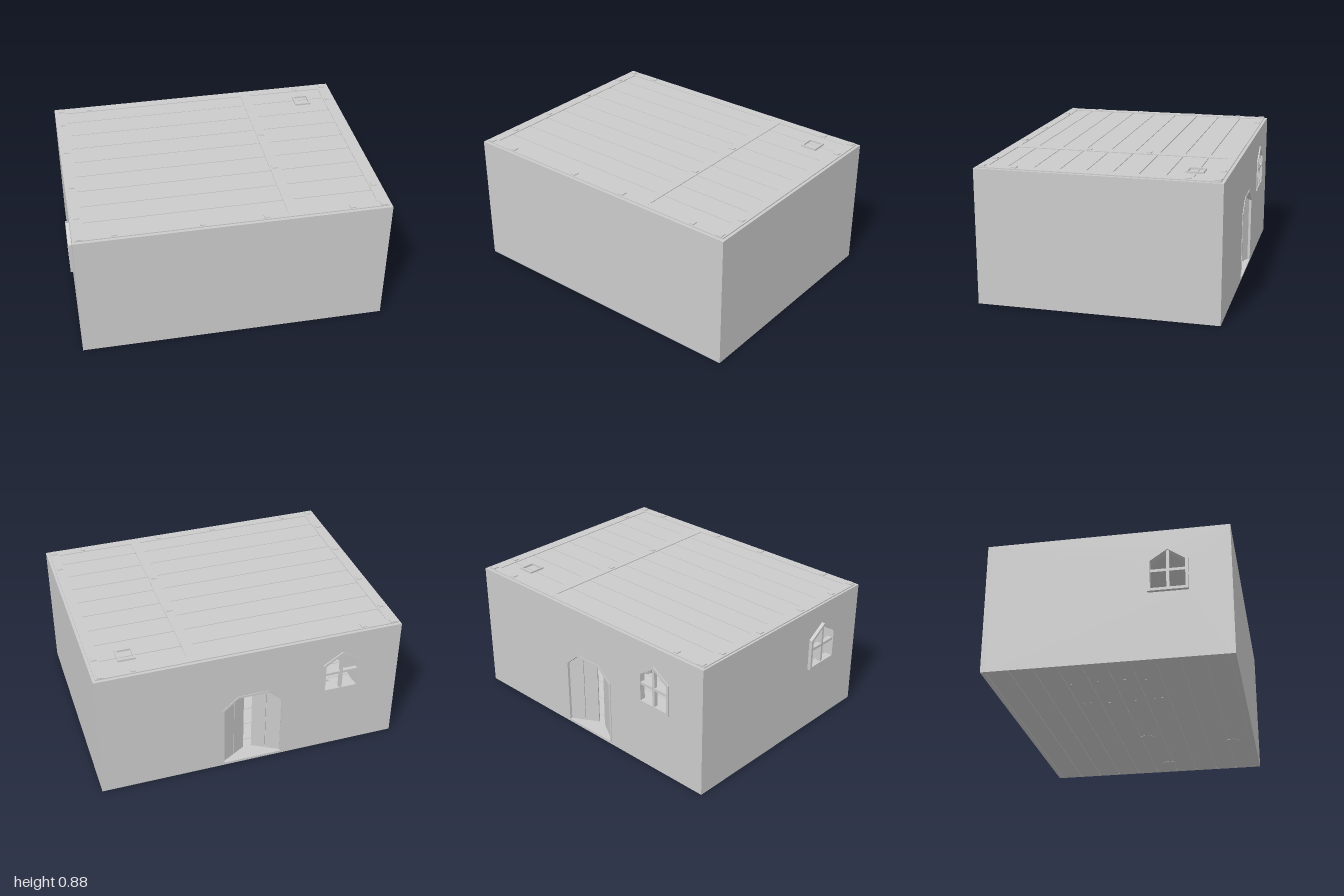
import * as THREE from 'three';

const mat = new THREE.MeshStandardMaterial({ color: 0xcccccc, flatShading: true });
const X0 = -0.975, X1 = 0.995, Z = 0.76, TOP = 0.87, T = 0.03;

function add(parent, name, geo, x = 0, y = 0, z = 0) {
  const m = new THREE.Mesh(geo, mat);
  m.name = name;
  m.position.set(x, y, z);
  parent.add(m);
  return m;
}

// Box given by its minimum and maximum corners
function span(parent, name, x0, x1, y0, y1, z0, z1) {
  return add(parent, name, new THREE.BoxGeometry(x1 - x0, y1 - y0, z1 - z0),
    (x0 + x1) / 2, (y0 + y1) / 2, (z0 + z1) / 2);
}

const poly = pts => pts.map(p => new THREE.Vector2(p[0], p[1]));

function extrude(pts, holes, depth) {
  const s = new THREE.Shape(poly(pts));
  holes.forEach(h => s.holes.push(new THREE.Path(poly(h))));
  return new THREE.ExtrudeGeometry(s, { depth, bevelEnabled: false });
}

// Gabled window outline, inset by d
const windowOutline = (u, d = 0) => [
  [u - 0.125 + d, 0.445 + d], [u + 0.125 - d, 0.445 + d],
  [u + 0.125 - d, 0.66 - d * 0.6], [u, 0.74 - d], [u - 0.125 + d, 0.66 - d * 0.6]];

// Door arch outline, inset by d
const doorOutline = (d = 0) => [
  [-0.205 + d, 0.02], [0.205 - d, 0.02], [0.205 - d, 0.46 - d * 0.5],
  [0.1, 0.55 - d], [-0.1, 0.55 - d], [-0.205 + d, 0.46 - d * 0.5]];

// Wall facing local +z, outer face at local z = 0
function wall(parent, name, u0, u1, holes) {
  const g = new THREE.Group();
  g.name = name;
  add(g, name + 'Panel', extrude([[u0, 0.005], [u1, 0.005], [u1, TOP], [u0, TOP]], holes, T), 0, 0, -T);
  parent.add(g);
  return g;
}

function windowUnit(parent, u, out) {
  const g = new THREE.Group();
  g.name = 'window';
  add(g, 'windowFrame', extrude(windowOutline(u), [windowOutline(u, 0.018)], T + out), 0, 0, -T);
  span(g, 'mullion', u - 0.009, u + 0.009, 0.46, 0.725, -0.02, out * 0.6);
  span(g, 'glazingBar', u - 0.11, u + 0.11, 0.575, 0.593, -0.02, out * 0.6);
  parent.add(g);
}

// Door leaf hinged at u = side * 0.19, opening inwards
function doorLeaf(parent, side) {
  const pivot = new THREE.Group();
  pivot.name = side < 0 ? 'doorLeafA' : 'doorLeafB';
  pivot.position.set(side * 0.19, 0, -0.012);
  pivot.rotation.y = side * -0.52;
  const topAt = a => (a < 0.1 ? 0.45 + a * 0.88 : 0.538);
  for (const [a, b] of [[0, 0.094], [0.097, 0.188]]) {
    const pts = [[a, 0.025], [b, 0.025], [b, topAt(b)], [a, topAt(a)]].map(([x, y]) => [-side * x, y]);
    if (side > 0) pts.reverse();
    add(pivot, 'doorBoard', extrude(pts, [], 0.014), 0, 0, -0.014);
  }
  for (const y of [0.1, 0.4]) {
    span(pivot, 'doorBatten', side > 0 ? -0.18 : 0.01, side > 0 ? -0.01 : 0.18, y, y + 0.03, -0.022, -0.013);
  }
  parent.add(pivot);
}

// Boards running along x, with narrow gaps
function boards(parent, name, count, y0, y1, x0, x1, zMax) {
  const w = 2 * zMax / count;
  for (let i = 0; i < count; i++) {
    const z = -zMax + i * w;
    span(parent, name, x0, x1, y0, y1, z + 0.0025, z + w - 0.0025);
  }
}

function legs(parent, name, x, z, dx, dz, h, r) {
  for (const sx of [-1, 1]) for (const sz of [-1, 1])
    add(parent, name, new THREE.BoxGeometry(r, h, r), x + sx * dx, h / 2 + 0.003, z + sz * dz);
}

export function createModel() {
  const room = new THREE.Group();
  room.name = 'room';

  // Walls
  const back = wall(room, 'backWall', -X1, -X0, [doorOutline(), windowOutline(0.585)]);
  back.position.z = -Z;
  back.rotation.y = Math.PI;
  const right = wall(room, 'windowWall', -Z + T, Z - T, [windowOutline(0.375)]);
  right.position.x = X0;
  right.rotation.y = -Math.PI / 2;
  const left = wall(room, 'plainWall', -Z + T, Z - T, []);
  left.position.x = X1;
  left.rotation.y = Math.PI / 2;
  wall(room, 'frontWall', X0, X1, []).position.z = Z;

  // Windows and door
  windowUnit(back, 0.585, 0.008);
  windowUnit(right, 0.375, 0.022);
  add(back, 'doorFrame', extrude(doorOutline(), [doorOutline(0.014).map(([x, y]) => [x, y + (y < 0.1 ? 0.006 : 0)])], T + 0.004), 0, 0, -T);
  doorLeaf(back, -1);
  doorLeaf(back, 1);

  // Floor
  span(room, 'floorBase', X0 + T, X1 - T, 0.009, 0.018, -Z + T, Z - T);
  boards(room, 'floorBoard', 10, 0.005, 0.022, X0 + T, X1 - T, Z - T);

  // Ceiling
  span(room, 'ceilingBase', X0 + T, X1 - T, 0.85, 0.864, -Z + T, Z - T);
  boards(room, 'ceilingBoard', 9, 0.848, 0.872, X0 + T, X1 - T, Z - T);

  // Beams crossing the ceiling, with posts below the edges
  for (const x of [-0.93, 0.375, 0.945]) {
    span(room, 'crossBeam', x - 0.032, x + 0.032, 0.8, 0.877, -Z + 0.02, Z - 0.02);
  }
  for (const z of [-0.715, 0.715]) {
    span(room, 'edgeBeam', -0.94, 0.96, 0.8, 0.8765, z - 0.026, z + 0.026);
    for (const x of [-0.92, 0.94]) span(room, 'cornerPost', x - 0.03, x + 0.03, 0.01, 0.85, z - 0.025, z + 0.025);
  }

  // Brace ends showing above the beams
  const brace = (x, z, w, d) => span(room, 'braceEnd', x - w / 2, x + w / 2, 0.83, 0.883, z - d / 2, z + d / 2);
  for (const z of [-0.545, -0.205, 0.195, 0.515]) brace(-0.93, z, 0.036, 0.032);
  for (const z of [-0.545, 0.515]) brace(0.945, z, 0.036, 0.032);
  for (const z of [-0.18, 0.215]) brace(0.375, z, 0.036, 0.032);
  for (const x of [-0.725, -0.19, 0.205, 0.745]) brace(x, 0.715, 0.032, 0.036);
  for (const x of [-0.73, 0.745]) brace(x, -0.715, 0.032, 0.036);
  for (const x of [-0.93, 0.945]) for (const z of [-0.72, 0.72]) brace(x, z, 0.04, 0.04);

  // Roof hatch rim
  const hatch = extrude([[0.7, 0.5], [0.81, 0.5], [0.81, 0.61], [0.7, 0.61]],
    [[[0.712, 0.512], [0.798, 0.512], [0.798, 0.598], [0.712, 0.598]]], 0.035);
  add(room, 'hatchRim', hatch, 0, 0.849, 0).rotation.x = -Math.PI / 2;

  // Barrels
  const barrel = new THREE.LatheGeometry(
    poly([[0, 0], [0.052, 0], [0.066, 0.08], [0.052, 0.16], [0.045, 0.16], [0.045, 0.15], [0, 0.15]]), 14);
  for (const [x, z] of [[0.82, 0.11], [0.27, 0.04], [0.44, 0.61]]) add(room, 'barrel', barrel, x, 0.003, z);

  // Table and benches
  const table = new THREE.Group();
  table.name = 'table';
  span(table, 'tableTop', -0.75, -0.35, 0.2, 0.22, -0.12, 0.1);
  legs(table, 'tableLeg', -0.55, -0.01, 0.17, 0.08, 0.2, 0.02);
  room.add(table);
  for (const z of [-0.24, 0.22]) {
    span(room, 'benchSeat', -0.73, -0.37, 0.11, 0.125, z - 0.04, z + 0.04);
    legs(room, 'benchLeg', -0.55, z, 0.15, 0.025, 0.11, 0.016);
  }

  return room;
}
